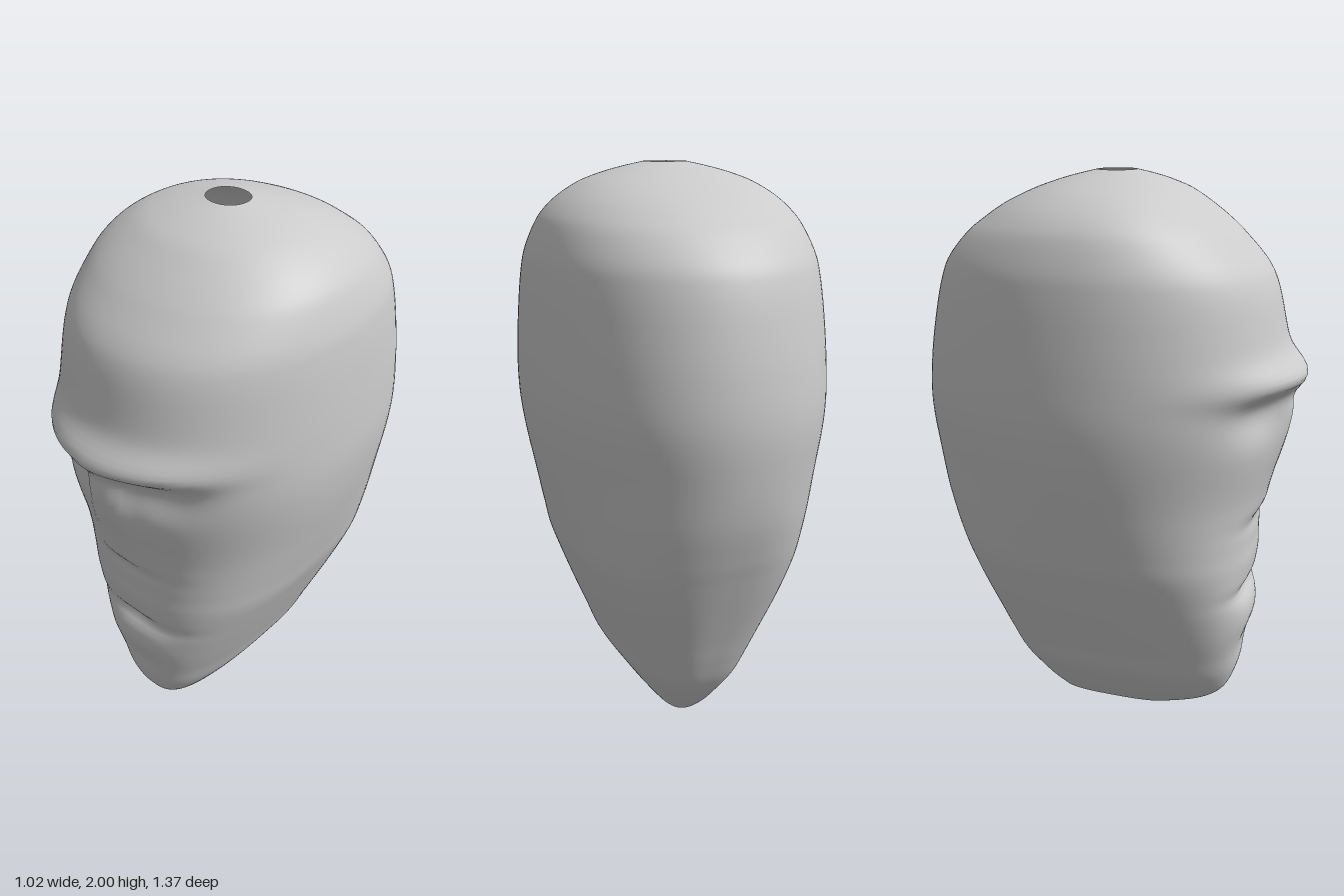
import * as THREE from 'three';

// Skull cross-sections, bottom to top: [y, half width, front z, back z]
const SECTIONS = [
  [0, 0.07, 0.24, -0.21], [0.045, 0.105, 0.365, -0.26], [0.1, 0.145, 0.44, -0.305],
  [0.185, 0.2, 0.48, -0.365], [0.28, 0.24, 0.5, -0.41], [0.39, 0.287, 0.515, -0.455],
  [0.56, 0.357, 0.52, -0.525], [0.66, 0.396, 0.525, -0.565], [0.75, 0.42, 0.53, -0.6],
  [0.89, 0.455, 0.55, -0.645], [1.05, 0.49, 0.59, -0.675], [1.21, 0.51, 0.62, -0.69],
  [1.37, 0.51, 0.62, -0.678], [1.53, 0.502, 0.59, -0.65], [1.64, 0.492, 0.56, -0.622],
  [1.71, 0.48, 0.52, -0.59], [1.79, 0.452, 0.445, -0.52], [1.84, 0.423, 0.39, -0.455],
  [1.89, 0.372, 0.325, -0.378], [1.935, 0.3, 0.258, -0.283], [1.965, 0.22, 0.19, -0.2],
  [1.985, 0.145, 0.13, -0.13], [2, 0.075, 0.07, -0.065],
];

// Smooth section at t in 0..1 (Catmull-Rom on every column)
function sectionAt(t) {
  const last = SECTIONS.length - 1;
  const i = Math.min(Math.floor(t * last), last - 1), u = t * last - i;
  const at = (k) => SECTIONS[THREE.MathUtils.clamp(k, 0, last)];
  return SECTIONS[i].map((p1, c) => {
    const p0 = at(i - 1)[c], p2 = at(i + 1)[c], p3 = at(i + 2)[c];
    const m1 = (p2 - p0) / 2, m2 = (p3 - p1) / 2;
    return p1 + u * (m1 + u * (3 * (p2 - p1) - 2 * m1 - m2 + u * (2 * (p1 - p2) + m1 + m2)));
  });
}

const { smoothstep } = THREE.MathUtils;
const bump = (d, size) => Math.exp(-((d / size) ** 2));
const plateau = (d, size) => Math.exp(-((d / size) ** 4));

// Forward displacement of the face
function relief(x, y) {
  const ax = Math.abs(x);
  // brow ridge, sharper on its underside
  let d = 0.06 * bump(y - 1.335, y > 1.335 ? 0.065 : 0.05) * plateau(x, 0.37);
  // eye sockets
  d -= 0.038 * bump(y - 1.23, 0.085) * bump(ax - 0.19, 0.13);
  // nose, widening to its base
  const nose = smoothstep(y, 0.79, 0.88) * (1 - smoothstep(y, 1.2, 1.34));
  d += (y > 1 ? 0.012 + 0.07 * Math.min(y - 1, 0.2) : 0.012) * nose * plateau(x, 0.07 + 0.2 * Math.max(0, 1.2 - y));
  // groove under the nose
  d -= 0.012 * bump(y - 0.81, 0.035) * bump(x, 0.16);
  // upper lip, mouth line, lower lip, chin crease
  d += 0.006 * bump(y - 0.66, 0.06) * plateau(x, 0.16);
  d -= 0.026 * bump(y - 0.54, 0.03) * bump(x, 0.16);
  d += 0.015 * bump(y - 0.44, 0.07) * plateau(x, 0.15);
  d -= 0.008 * bump(y - 0.31, 0.06) * bump(x, 0.1);
  return d;
}

export function createModel() {
  const rows = 200, around = 128;
  const positions = [], index = [];
  for (let i = 0; i <= rows; i++) {
    const [y, w, front, back] = sectionAt(i / rows);
    // nearly elliptical skull, squarer jaw
    const n = 2.1 + 0.75 * (1 - smoothstep(y, 0.45, 1.05));
    for (let j = 0; j < around; j++) {
      const a = (j / around) * Math.PI * 2, s = Math.sin(a), c = Math.cos(a);
      const r = (Math.abs(s) ** n + Math.abs(c) ** n) ** (-1 / n);
      const x = w * s * r;
      let z = c * r * (c > 0 ? front : -back);
      if (c > 0) z += relief(x, y) * smoothstep(c, 0, 0.6);
      positions.push(x, y, z);
      if (i === rows) continue;
      const p = i * around + j, q = i * around + ((j + 1) % around);
      index.push(p, q, q + around, p, q + around, p + around);
    }
  }
  const geometry = new THREE.BufferGeometry();
  geometry.setAttribute('position', new THREE.Float32BufferAttribute(positions, 3));
  geometry.setIndex(index);
  geometry.computeVertexNormals();

  // Hollow shell, open at crown and neck
  const head = new THREE.Mesh(
    geometry,
    new THREE.MeshStandardMaterial({ color: 0xcccccc, side: THREE.DoubleSide }),
  );
  head.name = 'head';
  const group = new THREE.Group();
  group.name = 'headModel';
  group.add(head);
  return group;
}
